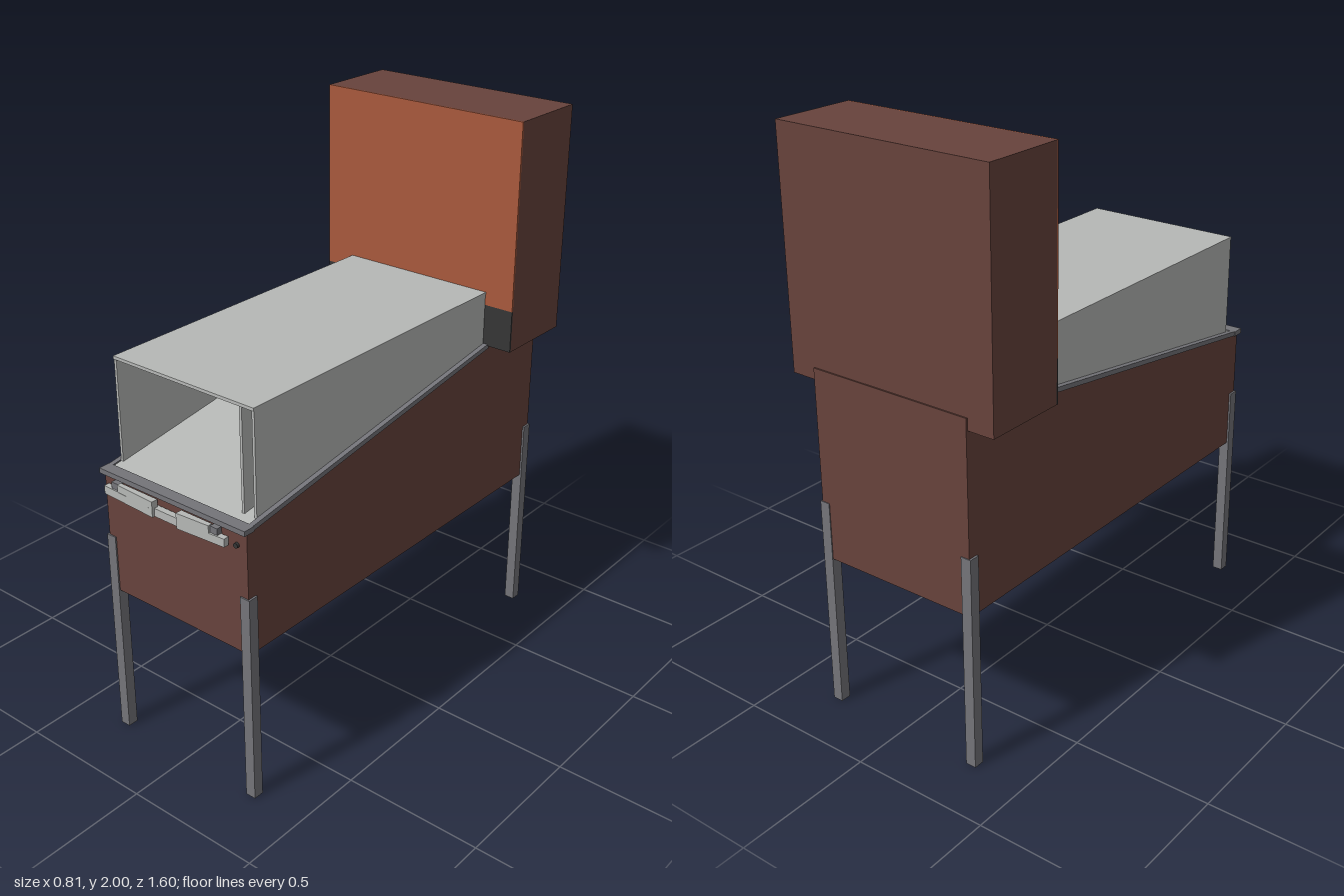
import * as THREE from 'three';

const mat = (name, color, side = THREE.FrontSide) => {
  const m = new THREE.MeshStandardMaterial({ color, side });
  m.name = name;
  return m;
};

export function createModel() {
  const group = new THREE.Group();
  const brown = mat('cabinet brown', 0x67433c);
  const orange = mat('panel orange', 0xa8593c);
  const dark = mat('charcoal', 0x353535);
  const metal = mat('trim metal', 0x747479);
  const pale = mat('pale grey', 0xb6b8b6);

  const add = (name, geo, material) => {
    const m = new THREE.Mesh(geo, material);
    m.name = name;
    group.add(m);
    return m;
  };
  // Box from its minimum and maximum corners
  const box = (name, material, x0, x1, y0, y1, z0, z1) => {
    const m = add(name, new THREE.BoxGeometry(x1 - x0, y1 - y0, z1 - z0), material);
    m.position.set((x0 + x1) / 2, (y0 + y1) / 2, (z0 + z1) / 2);
    return m;
  };
  // Side profile of [z, y] points, extruded from x0 to x1
  const slab = (name, material, x0, x1, pts) => {
    const shape = new THREE.Shape(pts.map(([z, y]) => new THREE.Vector2(z, y)));
    const geo = new THREE.ExtrudeGeometry(shape, { depth: x1 - x0, bevelEnabled: false });
    geo.rotateY(-Math.PI / 2).translate(x1, 0, 0);
    return add(name, geo, material);
  };
  // Plan outline of [x, z] points, extruded from y0 to y1
  const plan = (name, material, y0, y1, pts) => {
    const shape = new THREE.Shape(pts.map(([x, z]) => new THREE.Vector2(x, -z)));
    const geo = new THREE.ExtrudeGeometry(shape, { depth: y1 - y0, bevelEnabled: false });
    geo.rotateX(-Math.PI / 2).translate(0, y0, 0);
    return add(name, geo, material);
  };
  // Height of the sloping cabinet top
  const top = z => 1.003 + (0.765 - z) * 0.147;
  const strip = (z0, z1, lo, hi) =>
    [[z0, top(z0) + lo], [z0, top(z0) + hi], [z1, top(z1) + hi], [z1, top(z1) + lo]];

  // Cabinet with sloping top
  slab('cabinet', brown, -0.308, 0.308,
    [[0.765, 0.56], [0.765, top(0.765)], [-0.797, top(-0.797)], [-0.797, 0.56]]);

  // Upright rear box and its front panels
  box('backBox', brown, -0.405, 0.405, 1.19, 2, -0.79, -0.49);
  box('backPanel', orange, -0.405, 0.405, 1.34, 2, -0.49, -0.484);
  box('backPanelBase', dark, -0.405, 0.405, 1.19, 1.34, -0.49, -0.484);

  // Playing surface and front bar
  slab('playSurface', pale, -0.294, 0.294, strip(0.745, -0.48, -0.002, 0.005));
  box('frontBar', metal, -0.315, 0.315, 0.997, 1.015, 0.738, 0.782);

  // Open-fronted hood: sides, inner divider, lid and back
  const wall = [[0.705, top(0.705)], [0.705, 1.378], [-0.482, 1.378], [-0.482, top(-0.482)]];
  for (const s of [-1, 1]) {
    slab('hoodSide', pale, s * 0.29 - 0.005, s * 0.29 + 0.005, wall);
    slab('sideRail', metal, s * 0.304 - 0.009, s * 0.304 + 0.009, strip(0.75, -0.49, -0.008, 0.009));
  }
  slab('laneDivider', pale, 0.235, 0.245, wall);
  box('hoodLid', pale, -0.295, 0.295, 1.376, 1.387, -0.484, 0.708);
  box('hoodBack', pale, -0.29, 0.29, 1.185, 1.378, -0.484, -0.478);

  // Legs
  for (const x of [-0.296, 0.296])
    for (const z of [0.751, -0.781])
      box('leg', metal, x - 0.019, x + 0.019, 0, 0.765, z - 0.019, z + 0.019);

  // Front mechanism: two angled wings, raised blocks and a centre bridge
  plan('leftWing', pale, 0.933, 0.962, [[-0.29, 0.768], [-0.29, 0.788], [-0.06, 0.8], [-0.06, 0.768]]);
  plan('rightWing', pale, 0.933, 0.962, [[0.045, 0.768], [0.045, 0.8], [0.235, 0.788], [0.235, 0.768]]);
  plan('leftBlock', pale, 0.962, 0.988, [[-0.225, 0.775], [-0.225, 0.791], [-0.06, 0.8], [-0.06, 0.775]]);
  plan('rightBlock', pale, 0.962, 0.988, [[0.045, 0.775], [0.045, 0.8], [0.175, 0.792], [0.175, 0.775]]);
  box('centreBridge', pale, -0.06, 0.045, 0.933, 0.962, 0.768, 0.79);
  box('leftBracket', metal, -0.258, -0.225, 0.962, 0.985, 0.76, 0.785);
  box('rightBracket', metal, 0.175, 0.205, 0.962, 0.985, 0.76, 0.785);

  // Small button beside the mechanism
  const button = add('button', new THREE.CylinderGeometry(0.009, 0.009, 0.012, 12), dark);
  button.rotation.x = Math.PI / 2;
  button.position.set(0.268, 0.945, 0.768);

  return group;
}
